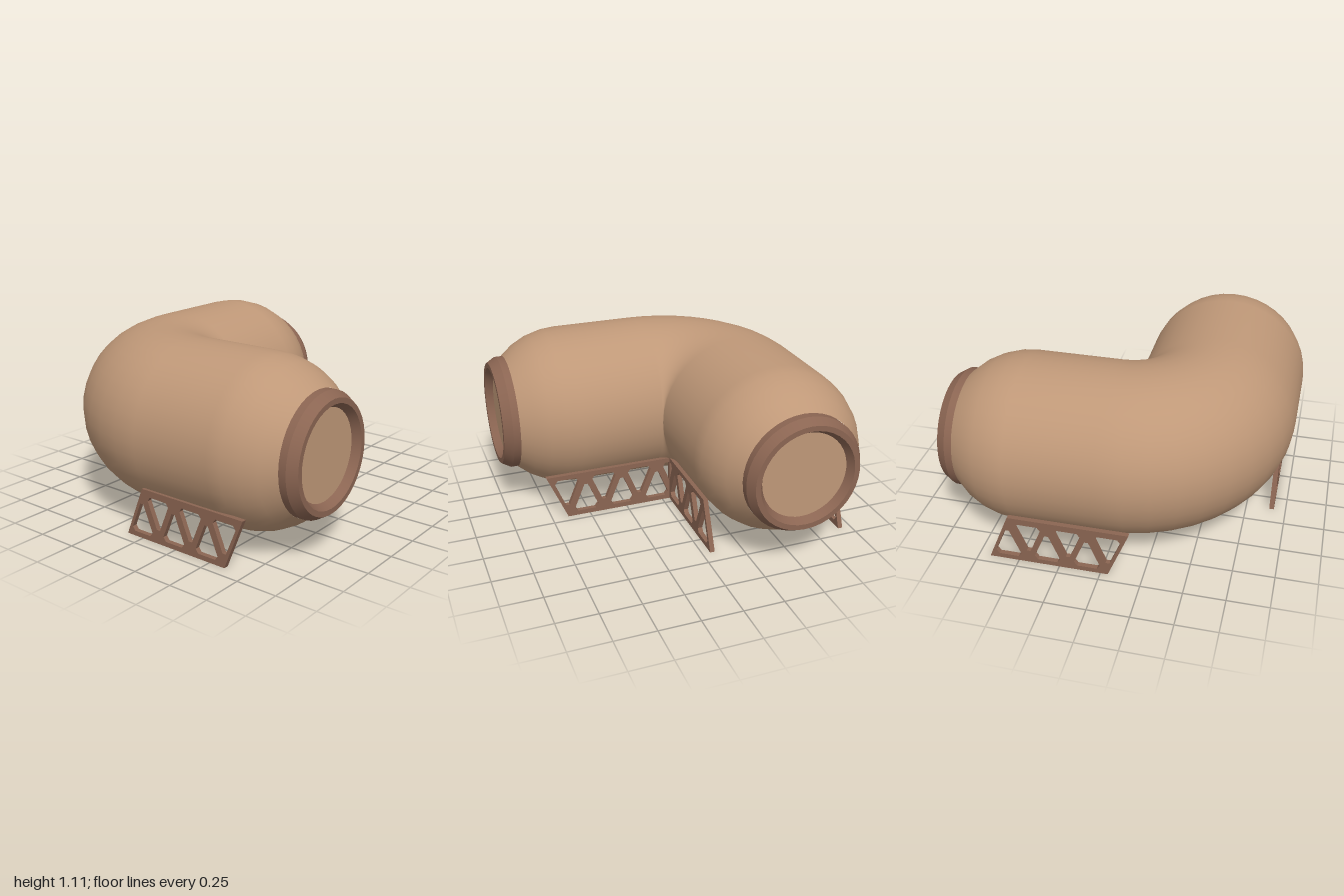
import * as THREE from 'three';
import { mergeGeometries } from 'three/addons/utils/BufferGeometryUtils.js';

const R = 0.51;        // pipe radius, also the bend radius
const AXIS = 0.49;     // distance of each straight run from the origin
const HEIGHT = 0.6;    // height of the pipe axis

// Bent pipe: rings swept along straight run, quarter bend, straight run
function elbowGeometry() {
  const stations = [];
  const caps = [0.9, 0.82, 0.73, 0.63, 0.54];
  const radiusAt = d => Math.sqrt(R * R - (d - 0.54) ** 2);
  const add = (x, z, angle, r) => stations.push({ x, z, angle, r });
  caps.forEach(d => add(-AXIS, d, 0, radiusAt(d)));
  const bends = 10, c = R - AXIS;
  for (let i = 0; i <= bends; i++) {
    const a = (i / bends) * Math.PI / 2;
    add(c - R * Math.cos(a), c - R * Math.sin(a), a, R);
  }
  [...caps].reverse().forEach(d => add(d, -AXIS, Math.PI / 2, radiusAt(d)));

  const sides = 40, pos = [], index = [];
  stations.forEach(({ x, z, angle, r }, i) => {
    for (let j = 0; j < sides; j++) {
      const t = (j / sides) * Math.PI * 2, out = r * Math.cos(t);
      pos.push(x - out * Math.cos(angle), HEIGHT + r * Math.sin(t), z - out * Math.sin(angle));
      if (i === stations.length - 1) continue;
      const a = i * sides + j, b = i * sides + (j + 1) % sides;
      index.push(a, b, a + sides, b, b + sides, a + sides);
    }
  });
  const g = new THREE.BufferGeometry();
  g.setAttribute('position', new THREE.Float32BufferAttribute(pos, 3));
  g.setIndex(index);
  g.computeVertexNormals();
  return g;
}

// Bevelled collar facing +z, with hard edges between its bands
function collarGeometry() {
  const profile = [[0.36, 0.89], [0.36, 0.945], [0.327, 1], [0.295, 1], [0.265, 0.95]]
    .map(p => new THREE.Vector2(...p));
  const bands = profile.slice(1).map((p, i) => new THREE.LatheGeometry([profile[i], p], 40));
  return mergeGeometries(bands).rotateX(Math.PI / 2);
}

// Truss plate: outline plus triangular holes, "up" and "down" list hole centres
function trussGeometry(outline, up, down, post) {
  const shape = new THREE.Shape(outline.map(p => new THREE.Vector2(...p)));
  const hole = pts => shape.holes.push(new THREE.Path(pts.map(p => new THREE.Vector2(...p))));
  const tri = [[-0.06, 0.03], [0.06, 0.03], [0.078, 0.055], [0.012, 0.215], [-0.012, 0.215], [-0.078, 0.055]];
  up.forEach(c => hole(tri.map(([x, y]) => [c + x, y])));
  down.forEach(c => hole(tri.map(([x, y]) => [c + x, 0.3 - y])));
  // half hole beside the upright corner post
  if (post !== undefined) hole([[post, 0.27], [post + 0.03, 0.27], [post + 0.045, 0.245], [post, 0.135]]);
  return new THREE.ExtrudeGeometry(shape, { depth: 0.03, bevelEnabled: false });
}

export function createModel() {
  const model = new THREE.Group();
  const shell = new THREE.MeshStandardMaterial({ color: 0xbf9878 });
  shell.name = 'tan shell';
  const trim = new THREE.MeshStandardMaterial({ color: 0x8b6552 });
  trim.name = 'brown trim';

  const mesh = (name, geometry, material, parent = model) => {
    const m = new THREE.Mesh(geometry, material);
    m.name = name;
    parent.add(m);
    return m;
  };

  mesh('elbowPipe', elbowGeometry(), shell);

  // Collar and recessed end cover on both openings
  const collar = collarGeometry();
  const cover = new THREE.CircleGeometry(0.268, 40).translate(0, 0, 0.952);
  [['frontEnd', -AXIS, 0, 0], ['sideEnd', 0, -AXIS, Math.PI / 2]].forEach(([name, x, z, turn]) => {
    const end = new THREE.Group();
    end.name = name;
    end.position.set(x, HEIGHT, z);
    end.rotation.y = turn;
    mesh(name + 'Collar', collar, trim, end);
    mesh(name + 'Cover', cover, shell, end);
    model.add(end);
  });

  // Inner supports meet at the inside corner
  mesh('innerSideSupport', trussGeometry(
    [[-0.08, 0], [0.655, 0], [0.53, 0.3], [-0.08, 0.3]],
    [0.53, 0.29, 0.05], [0.41, 0.17], -0.05), trim).position.z = -0.08;
  const innerFront = mesh('innerFrontSupport', trussGeometry(
    [[-0.08, 0], [0.645, 0], [0.775, 0.3], [-0.08, 0.3]],
    [0.04, 0.28, 0.52], [0.16, 0.4, 0.645], -0.05), trim);
  innerFront.position.x = -0.05;
  innerFront.rotation.y = -Math.PI / 2;

  // Outer supports are leaning parallelograms
  mesh('outerBackSupport', trussGeometry(
    [[-0.045, 0], [0.68, 0], [0.555, 0.31], [-0.17, 0.31]],
    [0.56, 0.32, 0.08], [0.435, 0.195, -0.045], undefined), trim).position.z = -0.945;
  const outerFront = mesh('outerFrontSupport', trussGeometry(
    [[-0.12, 0], [0.605, 0], [0.73, 0.31], [0.005, 0.31]],
    [0, 0.24, 0.48], [0.125, 0.365, 0.605], undefined), trim);
  outerFront.position.x = -0.897;
  outerFront.rotation.y = -Math.PI / 2;

  return model;
}
